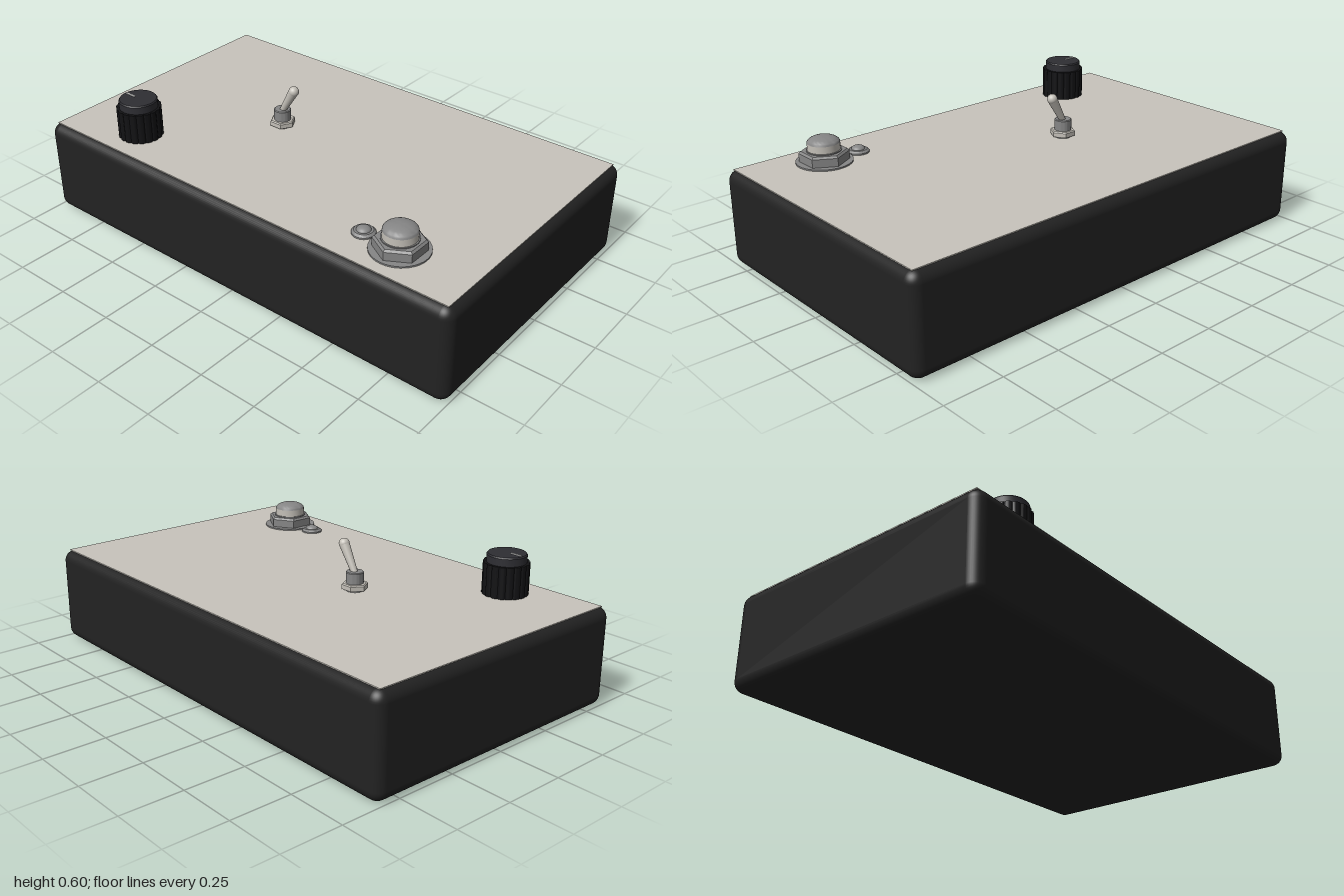
import * as THREE from 'three';
import { RoundedBoxGeometry } from 'three/addons/geometries/RoundedBoxGeometry.js';
import { toCreasedNormals } from 'three/addons/utils/BufferGeometryUtils.js';

const paint = (name, color) => {
  const m = new THREE.MeshStandardMaterial({ color });
  m.name = name;
  return m;
};

export function createModel() {
  const black = paint('enclosure black', 0x222222);
  const cream = paint('panel cream', 0xc8c4bc);
  const knobBlack = paint('knob black', 0x121214);
  const capGrey = paint('cap charcoal', 0x2e2e33);
  const steel = paint('steel', 0x868686);
  const bright = paint('bright metal', 0xc4c0b8);
  const white = paint('pointer white', 0xf0f0ee);

  const model = new THREE.Group();
  model.name = 'controlBox';

  const add = (parent, name, geometry, material, x = 0, y = 0, z = 0) => {
    const mesh = new THREE.Mesh(geometry, material);
    mesh.name = name;
    mesh.position.set(x, y, z);
    parent.add(mesh);
    return mesh;
  };
  const group = (name, x, z) => {
    const g = new THREE.Group();
    g.name = name;
    g.position.set(x, 0.4, z);
    model.add(g);
    return g;
  };
  // Turned part from [radius, height] pairs, with sharp edges kept
  const lathe = (points) => toCreasedNormals(
    new THREE.LatheGeometry(points.map(([r, y]) => new THREE.Vector2(r, y)), 40), 0.6);
  // Hexagonal nut with a small chamfer on top
  const hexNut = (r, y0, y1) => {
    const c = (y1 - y0) * 0.2;
    const g = new THREE.LatheGeometry([[0, y0], [r, y0], [r, y1 - c], [r - c, y1], [0, y1]]
      .map(([a, b]) => new THREE.Vector2(a, b)), 6);
    return toCreasedNormals(g, 0.2);
  };

  // Enclosure and top plate
  add(model, 'enclosure', new RoundedBoxGeometry(1.21, 0.4, 2, 5, 0.045), black, 0, 0.2, 0);
  add(model, 'topPanel', new THREE.BoxGeometry(1.15, 0.004, 1.95), cream, 0, 0.4, 0);

  // Fluted knob with a smooth cap and pointer
  const knob = group('knob', -0.42, -0.637);
  const outline = new THREE.Shape();
  const steps = 144;
  for (let i = 0; i < steps; i++) {
    const a = (i / steps) * Math.PI * 2;
    const r = 0.0905 - 0.005 * Math.pow(Math.max(0, Math.cos(a * 18)), 2);
    outline[i ? 'lineTo' : 'moveTo'](r * Math.cos(a), r * Math.sin(a));
  }
  outline.closePath();
  const grip = new THREE.ExtrudeGeometry(outline, { depth: 0.129, bevelEnabled: false });
  grip.rotateX(-Math.PI / 2);
  add(knob, 'knobGrip', toCreasedNormals(grip, 0.7), knobBlack);
  add(knob, 'knobCap', lathe([[0.078, 0.125], [0.078, 0.159], [0.074, 0.164], [0, 0.164]]), capGrey);
  add(knob, 'knobPointer', new THREE.BoxGeometry(0.008, 0.004, 0.05), white, 0, 0.165, -0.043);

  // Toggle switch leaning to the front
  const toggle = group('toggleSwitch', 0, -0.235);
  add(toggle, 'toggleNut', hexNut(0.053, 0.01, 0.033), bright);
  add(toggle, 'toggleBushing',
    lathe([[0.035, 0], [0.035, 0.076], [0.032, 0.079], [0, 0.079]]), steel);
  const from = new THREE.Vector3(0, 0.07, 0);
  const to = new THREE.Vector3(0, 0.177, 0.063);
  const axis = to.clone().sub(from);
  const lever = add(toggle, 'toggleLever',
    new THREE.CylinderGeometry(0.021, 0.013, axis.length(), 24), bright);
  lever.position.copy(from).add(to).multiplyScalar(0.5);
  lever.quaternion.setFromUnitVectors(new THREE.Vector3(0, 1, 0), axis.normalize());
  add(toggle, 'toggleTip', new THREE.SphereGeometry(0.0215, 24, 16), bright, to.x, to.y, to.z);

  // Foot switch: washer, nut, collar and domed button
  const foot = group('footSwitch', -0.415, 0.665);
  add(foot, 'footWasher', lathe([[0.113, 0], [0.113, 0.008], [0, 0.008]]), steel);
  add(foot, 'footNut', hexNut(0.099, 0.008, 0.05).rotateY(Math.PI / 2), steel);
  add(foot, 'footCollar', lathe([[0.07, 0.045], [0.07, 0.054], [0, 0.054]]), steel);
  add(foot, 'footButtonSide', lathe([[0.065, 0.05], [0.065, 0.083]]), bright);
  const dome = [];
  for (let i = 0; i <= 8; i++) {
    const a = (i / 8) * Math.PI / 2;
    dome.push([0.065 * Math.cos(a), 0.083 + 0.026 * Math.sin(a)]);
  }
  dome[8][0] = 0;
  add(foot, 'footButtonDome', lathe(dome), steel);

  // Indicator lamp in a low bezel
  const lamp = group('indicatorLamp', -0.415, 0.507);
  add(lamp, 'lampBezel',
    lathe([[0.045, 0], [0.045, 0.008], [0.036, 0.016], [0, 0.016]]), steel);
  add(lamp, 'lampDome', new THREE.SphereGeometry(0.028, 24, 10, 0, Math.PI * 2, 0, Math.PI / 2),
    steel, 0, 0.014, 0).scale.y = 0.6;

  return model;
}
